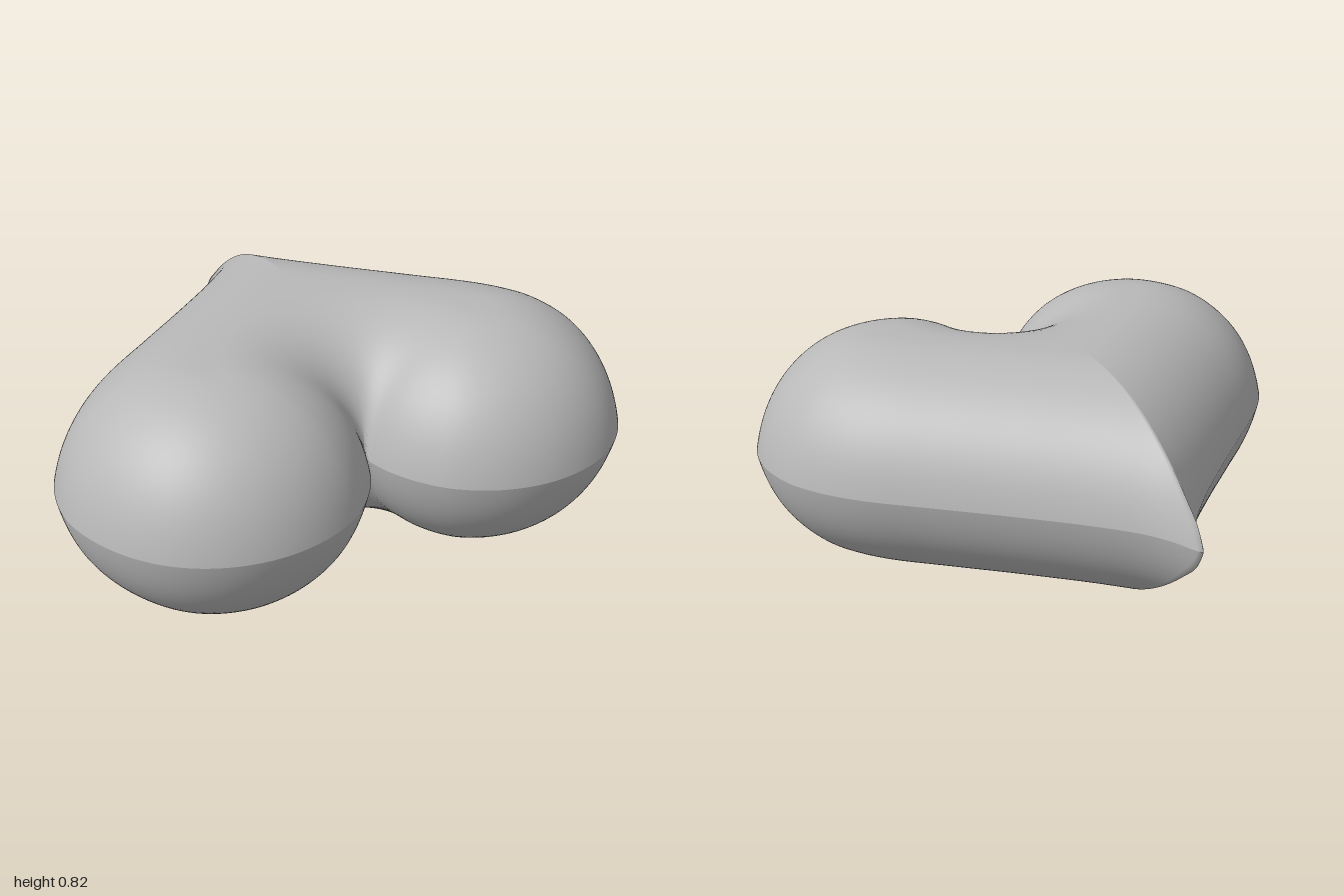
import * as THREE from 'three';

const HALF_HEIGHT = 0.41; // thickness above and below the seam
const ROUND = 0.44;       // width of the rounded shoulder
const RINGS = 48;
const SIDE_STEPS = 160;

// Right half of the heart outline (x, z), from the notch round to the tip
const OUTLINE = [
  [0, 0.51], [0.03, 0.6], [0.09, 0.7], [0.18, 0.79], [0.32, 0.86], [0.48, 0.885],
  [0.64, 0.86], [0.78, 0.79], [0.89, 0.68], [0.97, 0.53], [1, 0.38], [0.97, 0.2],
  [0.9, 0.07], [0.8, -0.05], [0.62, -0.21], [0.42, -0.385], [0.22, -0.57],
  [0.1, -0.7], [0.045, -0.79], [0.015, -0.865], [0, -0.89],
];

// Full closed outline: the half curve and its mirror image
function heartOutline() {
  const curve = new THREE.CatmullRomCurve3(OUTLINE.map(([x, z]) => new THREE.Vector3(x, 0, z)));
  const half = curve.getSpacedPoints(SIDE_STEPS).map((p) => [Math.max(0, p.x), p.z]);
  const mirrored = half.slice(1, -1).reverse().map(([x, z]) => [-x, z]);
  return [...half, ...mirrored];
}

// Shortest distance from a point to the closed outline
function edgeDistance(x, z, outline) {
  let best = Infinity;
  for (let i = 0; i < outline.length; i++) {
    const [ax, az] = outline[i];
    const [bx, bz] = outline[(i + 1) % outline.length];
    const dx = bx - ax, dz = bz - az;
    const t = Math.min(1, Math.max(0, ((x - ax) * dx + (z - az) * dz) / (dx * dx + dz * dz)));
    best = Math.min(best, (x - ax - t * dx) ** 2 + (z - az - t * dz) ** 2);
  }
  return Math.sqrt(best);
}

// Round shoulder with a thin pointed lip at the seam
function puffHeight(d) {
  const inset = (d * d) / (d + 0.03);
  const k = 1 - Math.min(1, inset / ROUND);
  return HALF_HEIGHT * Math.sqrt(1 - k * k);
}

// One inflated half: rings shrinking from the outline to the centre
function puffedHalf(outline, sign) {
  const n = outline.length;
  const positions = [0, sign * HALF_HEIGHT, 0];
  const index = [];
  const tri = (a, b, c) => (sign > 0 ? index.push(a, b, c) : index.push(a, c, b));
  for (let r = 1; r <= RINGS; r++) {
    const s = 1 - (1 - r / RINGS) ** 2; // finer towards the edge
    outline.forEach(([ox, oz], j) => {
      const x = ox * s, z = oz * s;
      const h = r === RINGS ? 0 : puffHeight(edgeDistance(x, z, outline));
      positions.push(x, sign * h, z);
      const next = (j + 1) % n;
      const outer = 1 + (r - 1) * n, inner = outer - n;
      if (r === 1) {
        tri(0, outer + j, outer + next);
      } else {
        tri(inner + j, outer + j, outer + next);
        tri(inner + j, outer + next, inner + next);
      }
    });
  }
  const geometry = new THREE.BufferGeometry();
  geometry.setAttribute('position', new THREE.Float32BufferAttribute(positions, 3));
  geometry.setIndex(index);
  geometry.computeVertexNormals();
  return geometry;
}

export function createModel() {
  const model = new THREE.Group();
  model.name = 'puffedHeart';
  const grey = new THREE.MeshStandardMaterial({ color: 0xb8b8b8 });
  grey.name = 'grey';
  const outline = heartOutline();

  // Two halves meet at the seam, which stays a sharp edge
  for (const [name, sign] of [['upperHalf', 1], ['lowerHalf', -1]]) {
    const half = new THREE.Mesh(puffedHalf(outline, sign), grey);
    half.name = name;
    half.position.y = HALF_HEIGHT;
    model.add(half);
  }
  return model;
}
